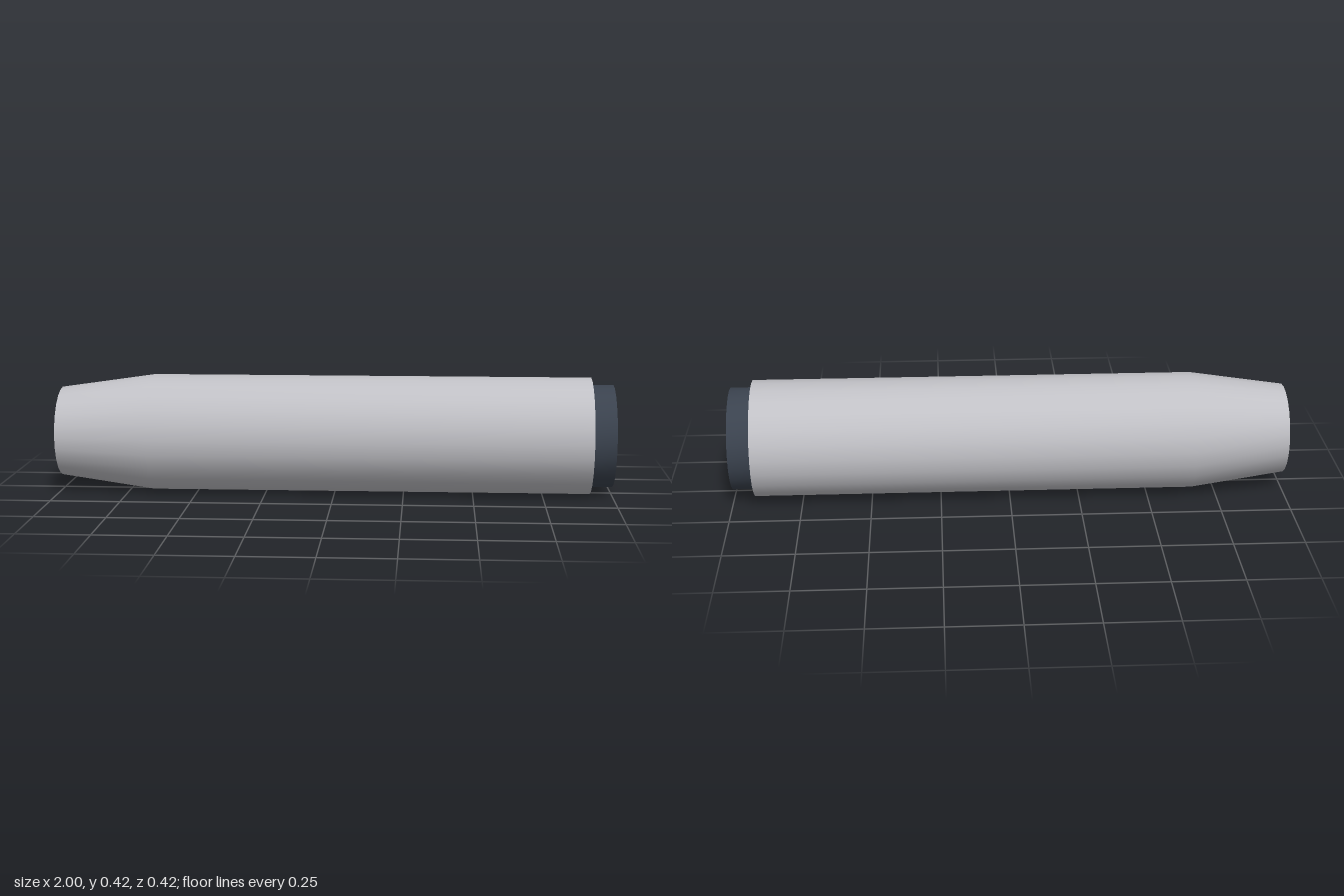
import * as THREE from 'three';
import { toCreasedNormals } from 'three/addons/utils/BufferGeometryUtils.js';

const RADIUS = 0.211, BORE = 0.185, SIDES = 24;

// Revolve a profile of [radius, x] points around the x axis
function revolve(name, profile, material) {
  const points = profile.map(([r, x]) => new THREE.Vector2(r, x));
  const geometry = new THREE.LatheGeometry(points, SIDES);
  geometry.rotateZ(-Math.PI / 2);
  const mesh = new THREE.Mesh(toCreasedNormals(geometry, 0.4), material);
  mesh.name = name;
  mesh.position.y = RADIUS;
  return mesh;
}

export function createModel() {
  const metal = new THREE.MeshStandardMaterial({ color: 0xc0c0c5 });
  metal.name = 'light grey metal';
  const dark = new THREE.MeshStandardMaterial({ color: 0x3a424e });
  dark.name = 'dark slate';

  const model = new THREE.Group();
  model.name = 'taperedTube';

  // Hollow sleeve, tapered towards its open end: outside, end rim, bore, tip rim
  model.add(revolve('sleeve', [
    [0.162, -1], [RADIUS, -0.66], [RADIUS, 0.92],
    [BORE, 0.92], [BORE, -0.66], [0.146, -1], [0.162, -1],
  ], metal));

  // Solid plug closing the wide end
  model.add(revolve('endPlug', [
    [0, 0.84], [BORE, 0.84], [BORE, 1], [0, 1],
  ], dark));

  return model;
}
